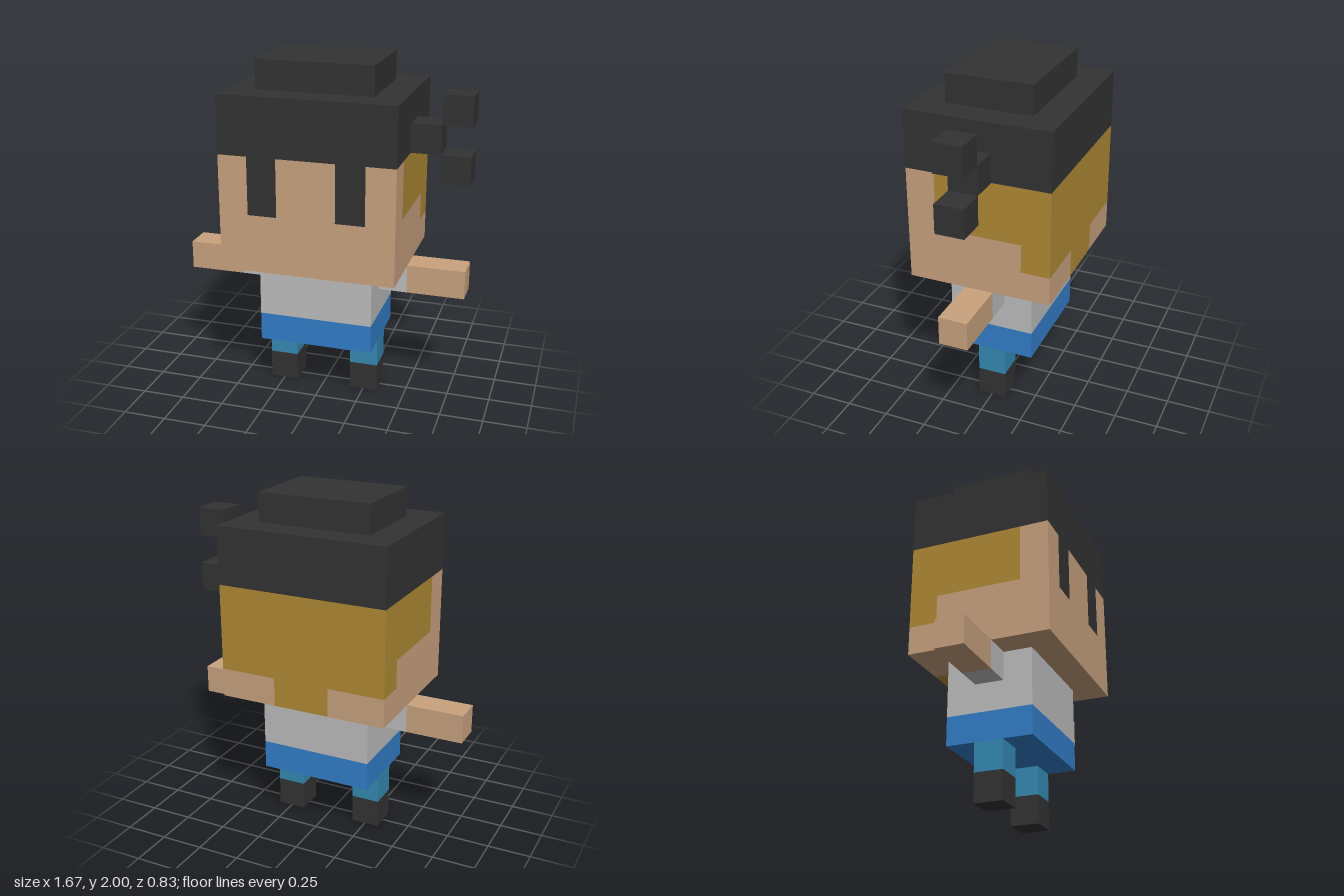
import * as THREE from 'three';

const U = 1 / 6; // one block of the figure

function material(name, color) {
  const m = new THREE.MeshStandardMaterial({ color });
  m.name = name;
  return m;
}

export function createModel() {
  const skin = material('skin', 0xc9a27f);
  const black = material('black', 0x333333);
  const gold = material('gold', 0xb08a35);
  const grey = material('light grey', 0xbdbdbd);
  const blue = material('blue', 0x327ec9);
  const teal = material('teal', 0x358ab3);

  const model = new THREE.Group();
  model.name = 'blockFigure';

  const group = (name) => {
    const g = new THREE.Group();
    g.name = name;
    model.add(g);
    return g;
  };

  // Box between two corners, measured in blocks
  const block = (parent, name, mat, x0, x1, y0, y1, z0, z1) => {
    const geo = new THREE.BoxGeometry((x1 - x0) * U, (y1 - y0) * U, (z1 - z0) * U);
    const mesh = new THREE.Mesh(geo, mat);
    mesh.position.set((x0 + x1) * U / 2, (y0 + y1) * U / 2, (z0 + z1) * U / 2);
    mesh.name = name;
    parent.add(mesh);
  };

  // Same box on both sides of the body
  const pair = (parent, name, mat, x0, x1, ...rest) => {
    block(parent, name + 'Left', mat, x0, x1, ...rest);
    block(parent, name + 'Right', mat, -x1, -x0, ...rest);
  };

  // Head: interlocking blocks of face, eyes and golden back
  const head = group('head');
  block(head, 'jaw', skin, -3, 3, 5, 7, -1.5, 2.5);
  pair(head, 'napeSide', skin, 1, 3, 5, 6, -2.5, -1.5);
  block(head, 'napeMiddle', gold, -1, 1, 5, 6, -2.5, -1.5);
  block(head, 'lowerBack', gold, -3, 3, 6, 7, -2.5, -1.5);
  block(head, 'upperBack', gold, -3, 3, 7, 9, -2.5, 1.5);
  block(head, 'noseArea', skin, -1, 1, 7, 9, 1.5, 2.5);
  pair(head, 'eye', black, 1, 2, 7, 9, 1.5, 2.5);
  pair(head, 'temple', skin, 2, 3, 7, 9, 1.5, 2.5);

  // Hair with a raised crown and a side tuft
  const hair = group('hair');
  block(hair, 'hairBand', black, -3, 3, 9, 11, -2.5, 2.5);
  block(hair, 'crown', black, -2, 2, 11, 12, -1.5, 1.5);
  block(hair, 'tuftBase', black, 3, 4, 9, 10, -0.5, 0.5);
  block(hair, 'tuftTop', black, 4, 5, 10, 11, -0.5, 0.5);
  block(hair, 'tuftBottom', black, 4, 5, 8, 9, -0.5, 0.5);

  // Torso
  const torso = group('torso');
  block(torso, 'shirt', grey, -2, 2, 3, 5, -1.5, 1.5);
  block(torso, 'shorts', blue, -2, 2, 2, 3, -1.5, 1.5);

  // Arms
  const arms = group('arms');
  pair(arms, 'sleeve', grey, 2, 3, 4, 5, -0.5, 0.5);
  pair(arms, 'forearm', skin, 3, 5, 4, 5, -0.5, 0.5);

  // Legs
  const legs = group('legs');
  pair(legs, 'leg', teal, 1, 2, 1, 2, -0.5, 0.5);
  pair(legs, 'shoe', black, 1, 2, 0, 1, -0.5, 0.5);

  return model;
}
